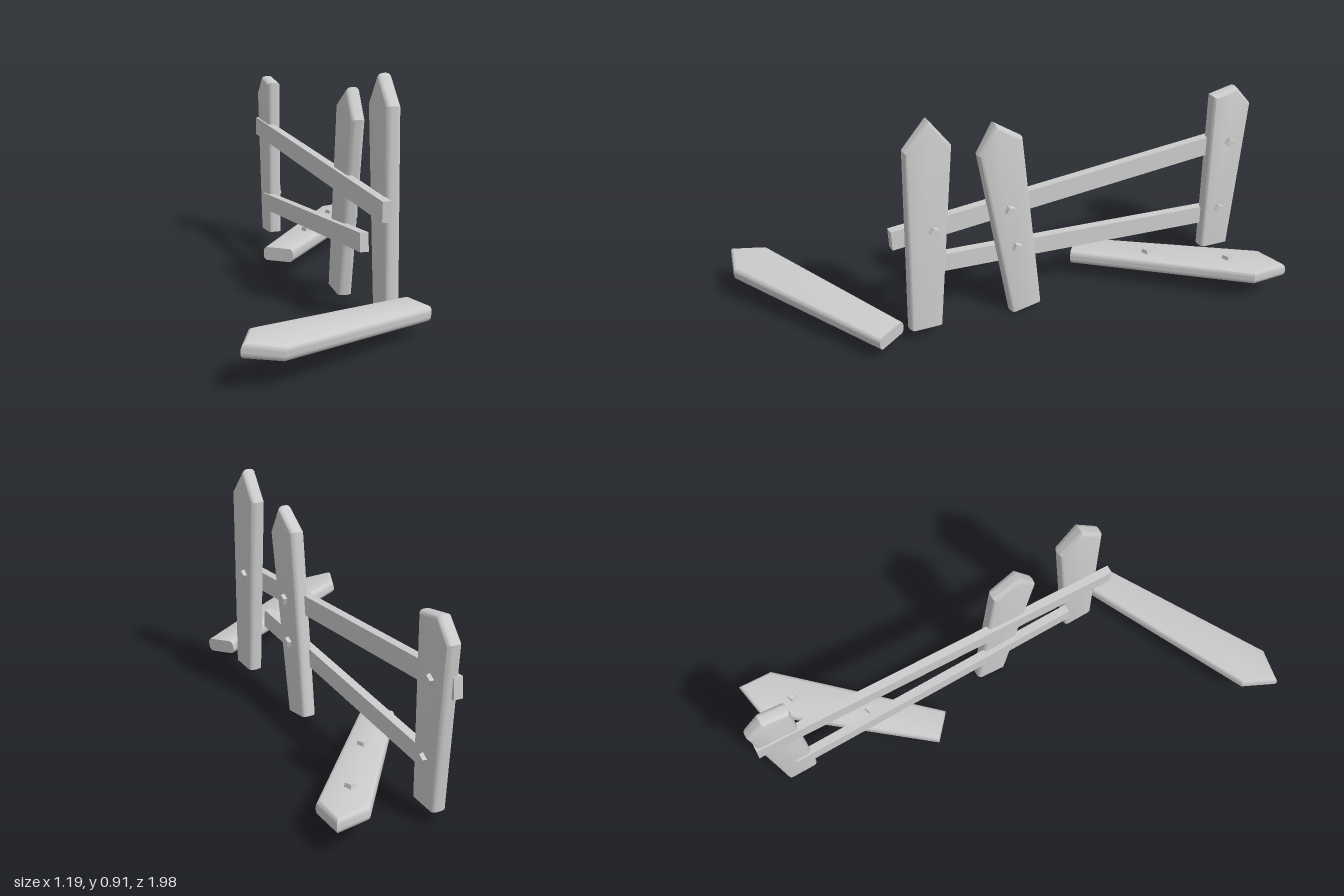
import * as THREE from 'three';
import { toCreasedNormals } from 'three/addons/utils/BufferGeometryUtils.js';

const material = new THREE.MeshStandardMaterial({ color: 0xcccccc });
const BEVEL = 0.015, THICK = 0.056, ROUND = 0.022;

// Pointed board: square-cut foot at y = 0, widening to the shoulders, long edges rounded.
function boardGeometry({ left = 0.745, right = 0.745, tip = 0.856, tipX = 0 }) {
  const shape = new THREE.Shape([
    [-0.066 + BEVEL, 0], [0.066 - BEVEL, 0],
    [0.091 - BEVEL, right - 0.006], [tipX, tip - 0.021], [-0.091 + BEVEL, left - 0.006],
  ].map(([x, y]) => new THREE.Vector2(x, y)));
  const geo = new THREE.ExtrudeGeometry(shape, {
    depth: THICK - 2 * ROUND, bevelThickness: ROUND, bevelSize: BEVEL, bevelSegments: 4,
  });
  geo.translate(0, 0, ROUND - THICK / 2);
  // flatten the foot so it reads as a saw cut
  const p = geo.attributes.position;
  for (let i = 0; i < p.count; i++) p.setY(i, Math.max(0, p.getY(i)));
  return toCreasedNormals(geo, 0.6);
}

// Square nail head, slightly tapered, standing out of the board's face.
function nailGeometry() {
  const geo = new THREE.CylinderGeometry(0.018, 0.026, 0.03, 4).toNonIndexed();
  geo.rotateX(Math.PI / 2).rotateZ(0.25);
  geo.computeVertexNormals();
  return geo;
}

// A board running from foot along the direction to head, its nailed face towards facing.
function picket({ name, foot, head, facing, nails = [], ...outline }) {
  const group = new THREE.Group();
  group.name = name;
  const origin = new THREE.Vector3(...foot);
  const up = new THREE.Vector3(...head).sub(origin).normalize();
  const side = up.clone().cross(new THREE.Vector3(...facing)).normalize();
  const face = side.clone().cross(up);
  group.quaternion.setFromRotationMatrix(new THREE.Matrix4().makeBasis(side, up, face));
  group.position.copy(origin);

  const board = new THREE.Mesh(boardGeometry(outline), material);
  board.name = 'board';
  group.add(board);
  for (const [x, y] of nails) {
    const nail = new THREE.Mesh(nailGeometry(), material);
    nail.name = 'nail';
    nail.position.set(x, y, THICK / 2);
    group.add(nail);
  }
  return group;
}

// Plain rectangular rail between two points.
function rail(name, from, to, height) {
  const a = new THREE.Vector3(...from), b = new THREE.Vector3(...to);
  const mesh = new THREE.Mesh(new THREE.BoxGeometry(0.034, height, a.distanceTo(b)), material);
  mesh.name = name;
  mesh.position.copy(a).add(b).multiplyScalar(0.5);
  mesh.lookAt(b);
  return mesh;
}

export function createModel() {
  const fence = new THREE.Group();
  fence.name = 'brokenFence';

  const pickets = [
    // standing
    { name: 'frontPicket', foot: [0.138, 0.06, 0.445], head: [0.138, 0.805, 0.415],
      facing: [1, 0, 0.05], nails: [[0.018, 0.416]] },
    { name: 'middlePicket', foot: [0.145, 0.015, 0.0125], head: [0.138, 0.74, 0.12],
      facing: [1, 0, 0.06], left: 0.726, right: 0.739, tip: 0.83, tipX: -0.006,
      nails: [[-0.01, 0.466], [-0.005, 0.294]] },
    { name: 'backPicket', foot: [0.19, 0.06, -0.875], head: [0.19, 0.712, -0.905],
      facing: [1, 0, 0.06], left: 0.677, right: 0.63, tip: 0.712, tipX: 0.013,
      nails: [[0.004, 0.476], [-0.008, 0.175]] },
    // fallen
    { name: 'fallenFrontPicket', foot: [0.185, 0.092, 0.605], head: [-0.502, 0.136, 0.905],
      facing: [0.05, 1, 0.11] },
    { name: 'fallenBackPicket', foot: [0.005, 0.092, -0.305], head: [0.522, 0.118, -0.848],
      facing: [0, 1, 0], nails: [[0.007, 0.304], [-0.003, 0.626]] },
  ];
  for (const p of pickets) fence.add(picket(p));

  fence.add(rail('upperRail', [0.088, 0.44, 0.55], [0.177, 0.53, -0.992], 0.078));
  fence.add(rail('lowerRail', [0.09, 0.288, 0.36], [0.171, 0.197, -0.88], 0.073));
  return fence;
}
